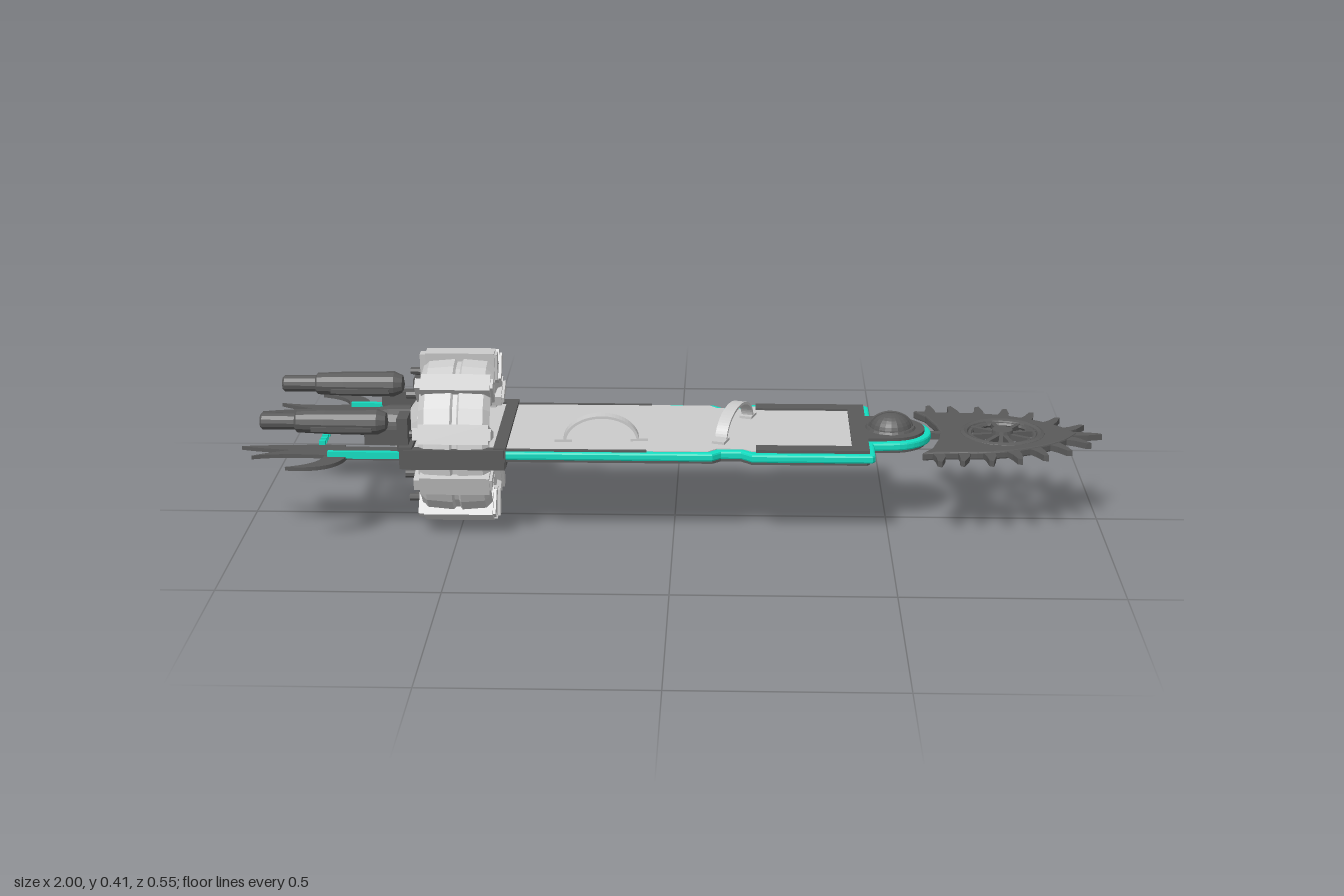
import * as THREE from 'three';

const mat = (color) => new THREE.MeshStandardMaterial({ color, flatShading: true, side: THREE.DoubleSide });
const GREY = mat(0xcccccc), DARK = mat(0x5a5a5a), TEAL = mat(0x12dcc0);
const AXIS_Y = 0.205, ZC = 0.013, RING_X = -0.5;

export function createModel() {
  const root = new THREE.Group();
  root.name = 'bladedHoverboard';
  const hull = new THREE.Group();
  hull.name = 'hull';
  hull.position.z = ZC;
  root.add(hull);

  const add = (name, geo, material, parent = hull) => {
    const m = new THREE.Mesh(geo, material);
    m.name = name;
    parent.add(m);
    return m;
  };
  const box = (name, x0, x1, y0, y1, z0, z1, material, parent) =>
    add(name, new THREE.BoxGeometry(x1 - x0, y1 - y0, z1 - z0)
      .translate((x0 + x1) / 2, (y0 + y1) / 2, (z0 + z1) / 2), material, parent);
  // Flat plate from an x-z shape, lying between y0 and y1
  const plate = (name, shape, y0, y1, material, parent, bevel = 0) =>
    add(name, new THREE.ExtrudeGeometry(shape, {
      depth: y1 - y0 - 2 * bevel, curveSegments: 20, bevelEnabled: bevel > 0,
      bevelSize: bevel, bevelThickness: bevel, bevelOffset: -bevel, bevelSegments: 2,
    }).rotateX(Math.PI / 2).translate(0, y1 - bevel, 0), material, parent);
  // Solid of revolution about the x axis; profile is [radius, x]
  const turned = (name, profile, sides, y, z, material, parent) =>
    add(name, new THREE.LatheGeometry(profile.map(([r, x]) => new THREE.Vector2(r, x)), sides)
      .rotateZ(-Math.PI / 2).translate(0, y, z), material, parent);
  const polygon = (pts) => new THREE.Shape(pts.map(([x, z]) => new THREE.Vector2(x, z)));
  const mirrored = (half) => [...half, ...half.slice().reverse().map(([x, z]) => [x, -z])];
  // Round nose points, from the side to the centre line
  const nose = (r) => [0, 1, 2, 3, 4, 5, 6, 7, 8].map((i) => {
    const a = Math.PI / 2 * (1 - i / 8.5);
    return [0.505 + r * Math.cos(a), r * Math.sin(a)];
  });
  const outline = (d) => polygon(mirrored([
    [-0.61, 0.182 - d], [0.09, 0.182 - d], [0.11, 0.164 - d], [0.155, 0.164 - d], [0.18, 0.187 - d],
    [0.455 - d, 0.187 - d], [0.462 - d, 0.178 - d], [0.462 - d, 0.098 - d], ...nose(0.095 - d)]));

  // Board: glowing rim, dark belly, light deck
  plate('boardRim', outline(0), 0.203, 0.223, TEAL, hull, 0.005);
  plate('boardBelly', outline(0.012), 0.195, 0.206, DARK);
  plate('deck', polygon(mirrored([[-0.6, 0.17], [0.08, 0.17], [0.1, 0.15], [0.16, 0.15], [0.18, 0.165], [0.44, 0.165]])),
    0.215, 0.225, GREY);
  plate('noseTrim', polygon(mirrored([[0.41, 0], [0.41, 0.137], [0.19, 0.137], [0.19, 0.173],
    [0.449, 0.173], [0.449, 0.085], ...nose(0.08)])), 0.214, 0.23, DARK);
  for (const s of [-1, 1]) {
    box('edgeStrip', -0.4, -0.06, 0.216, 0.227, s * 0.172 - 0.004, s * 0.172 + 0.004, DARK);
  }

  // Underside grille
  box('grillePanel', -0.37, 0.43, 0.191, 0.196, -0.125, 0.125, DARK);
  for (let i = 0; i < 11; i++) {
    const z = -0.11 + i * 0.022;
    box('grilleBar', -0.36, 0.42, 0.189, 0.192, z - 0.0025, z + 0.0025, TEAL);
  }
  for (let i = 0; i < 27; i++) {
    const x = -0.36 + i * 0.03;
    box('grilleCrossBar', x - 0.0025, x + 0.0025, 0.189, 0.192, -0.11, 0.11, TEAL);
  }

  // Dome on the nose
  add('noseDome', new THREE.SphereGeometry(0.05, 20, 8, 0, Math.PI * 2, 0, Math.PI / 2)
    .scale(1, 0.8, 1).translate(0.505, 0.228, 0), DARK);
  add('domeBand', new THREE.TorusGeometry(0.05, 0.004, 6, 16, Math.PI).scale(1, 0.8, 1.5)
    .translate(0.505, 0.228, 0), DARK);
  add('domeCollar', new THREE.TorusGeometry(0.053, 0.006, 6, 24).rotateX(Math.PI / 2).translate(0.505, 0.23, 0), DARK);

  // Foot straps: flat arched bands with feet
  const strap = (x, z, span, turn) => {
    const g = new THREE.Group();
    g.name = 'footStrap';
    g.position.set(x, 0.224, z);
    g.rotation.y = turn;
    hull.add(g);
    const s = new THREE.Shape();
    s.absellipse(0, 0, span / 2, 0.062, 0, Math.PI, false);
    s.absellipse(0, 0, span / 2 - 0.006, 0.056, Math.PI, 0, true);
    add('strapBand', new THREE.ExtrudeGeometry(s, { depth: 0.028, bevelEnabled: false, curveSegments: 16 })
      .translate(0, 0, -0.014), GREY, g);
    for (const e of [-1, 1]) box('strapFoot', e * span / 2 - 0.02, e * span / 2 + 0.02, 0, 0.007, -0.015, 0.015, GREY, g);
  };
  strap(-0.168, 0.092, 0.175, 0.06);
  strap(0.14, 0.005, 0.2, 1.25);

  // Turbine ring
  const ring = new THREE.Group();
  ring.name = 'turbineRing';
  ring.position.y = AXIS_Y;
  hull.add(ring);
  turned('ringShell', [[0.146, -0.575], [0.172, -0.585], [0.188, -0.57], [0.194, -0.51], [0.187, -0.505], [0.187, -0.495],
    [0.194, -0.49], [0.189, -0.435], [0.172, -0.42], [0.166, -0.43], [0.146, -0.435], [0.146, -0.575]], 20, 0, 0, GREY, ring);
  // Slotted web between the shell and the intake
  const web = new THREE.Shape().absarc(0, 0, 0.152, 0, Math.PI * 2, false);
  web.holes.push(new THREE.Path().absarc(0, 0, 0.115, 0, Math.PI * 2, true));
  for (const v of [-1, 1]) for (const h of [-1, 1]) for (const deg of [15, 34, 55]) {
    const a = v * (Math.PI / 2 - h * deg * Math.PI / 180);
    web.holes.push(new THREE.Path().absellipse(0.133 * Math.cos(a), 0.133 * Math.sin(a), 0.011, 0.006, 0, Math.PI * 2, true, a));
  }
  add('slottedWeb', new THREE.ExtrudeGeometry(web, { depth: 0.012, bevelEnabled: false, curveSegments: 10 })
    .rotateY(Math.PI / 2).translate(RING_X, 0, 0), GREY, ring);
  // Stepped intake bowl, closed at the back
  turned('intakeBowl', [[0, -0.575], [0.075, -0.575], [0.08, -0.55], [0.092, -0.55], [0.097, -0.52], [0.108, -0.52],
    [0.112, -0.485], [0.12, -0.485], [0.122, -0.45], [0.117, -0.45]], 20, 0, 0, GREY, ring);
  // Ten tapered clamps
  const clamp = polygon([[-0.013, 0.132], [0.013, 0.132], [0.023, 0.204], [-0.023, 0.204]]);
  const rib = polygon([[-0.007, 0.136], [0.007, 0.136], [0.014, 0.199], [-0.014, 0.199]]);
  for (let i = 0; i < 10; i++) {
    const g = new THREE.Group();
    g.name = 'ringClamp';
    g.rotation.x = i * Math.PI / 5;
    ring.add(g);
    add('clampBody', new THREE.ExtrudeGeometry(clamp, { depth: 0.16, bevelEnabled: false })
      .rotateY(Math.PI / 2).translate(-0.58, 0, 0), GREY, g);
    add('clampRib', new THREE.ExtrudeGeometry(rib, { depth: 0.18, bevelEnabled: false })
      .rotateY(Math.PI / 2).translate(-0.594, 0, 0), GREY, g);
    add('clampBolt', new THREE.CylinderGeometry(0.009, 0.009, 0.03, 8).rotateZ(Math.PI / 2)
      .translate(-0.602, 0.155, 0), DARK, g);
  }
  turned('rearShroud', [[0.045, -0.655], [0.06, -0.64], [0.065, -0.62], [0.1, -0.595], [0.11, -0.55]], 20, 0, 0, GREY, ring);
  turned('exhaustCone', [[0.004, -0.775], [0.02, -0.755], [0.035, -0.71], [0.044, -0.67], [0.044, -0.62], [0, -0.62]],
    16, 0.025, 0, DARK, ring);

  // Collar where the board passes through the ring
  box('collarFloor', -0.62, -0.385, 0.182, 0.2, -0.192, 0.192, DARK);
  box('collarFrontBar', -0.41, -0.382, 0.184, 0.233, -0.186, 0.186, DARK);
  box('collarRearBar', -0.625, -0.595, 0.184, 0.236, -0.192, 0.192, DARK);
  for (const s of [-1, 1]) {
    box('collarRail', -0.615, -0.385, 0.19, 0.23, s * 0.183 - 0.012, s * 0.183 + 0.012, DARK);
    box('collarBracket', -0.63, -0.605, 0.2, 0.3, s * 0.15 - 0.03, s * 0.15 + 0.03, DARK);
  }

  // Rear tail: side rails and a grille that faces down
  for (const s of [-1, 1]) {
    box('tailRail', -0.79, -0.61, 0.206, 0.222, s * 0.182 - 0.006, s * 0.182 + 0.006, TEAL);
    box('tailPlate', -0.8, -0.61, 0.2, 0.212, s * 0.15 - 0.03, s * 0.15 + 0.03, DARK);
  }
  for (let i = 0; i < 10; i++) {
    const z = -0.1 + i * 0.0222;
    box('tailGrilleTip', -0.822, -0.808, 0.207, 0.22, z - 0.006, z + 0.006, TEAL);
  }
  const under = new THREE.MeshStandardMaterial({ color: 0x12dcc0 });
  const slat = (w, d, x, z) =>
    add('tailGrilleSlat', new THREE.PlaneGeometry(w, d).rotateX(Math.PI / 2).translate(x, 0.207, z), under);
  for (let i = 0; i < 10; i++) slat(0.19, 0.008, -0.717, -0.1 + i * 0.0222);
  for (let i = 0; i < 6; i++) slat(0.006, 0.21, -0.8 + i * 0.035, 0);

  // Twin thrusters and curved tail fins
  const fin = (name, s, a, c1, tip, c2, b) => {
    const f = new THREE.Shape();
    f.moveTo(a[0], s * a[1]);
    f.quadraticCurveTo(c1[0], s * c1[1], tip[0], s * tip[1]);
    f.quadraticCurveTo(c2[0], s * c2[1], b[0], s * b[1]);
    plate(name, f, 0.201, 0.21, DARK, root);
  };
  for (const s of [-1, 1]) {
    turned('thruster', [[0, -0.95], [0.015, -0.95], [0.02, -0.945], [0.02, -0.87], [0.026, -0.865], [0.029, -0.8],
      [0.031, -0.68], [0.022, -0.66], [0, -0.655]], 14, 0.277, s * 0.145, DARK, root);
    box('thrusterFin', -0.83, -0.69, 0.262, 0.272, s * 0.145 - 0.034, s * 0.145 + 0.034, DARK, root);
    box('thrusterMount', -0.71, -0.61, 0.225, 0.262, s * 0.145 - 0.014, s * 0.145 + 0.014, DARK, root);
    fin('hornFin', s, [-0.8, 0.18], [-0.79, 0.245], [-0.875, 0.272], [-0.755, 0.29], [-0.745, 0.18]);
    fin('hookFin', s, [-0.78, 0.125], [-0.92, 0.16], [-0.965, 0.198], [-0.9, 0.175], [-0.78, 0.19]);
    fin('longFin', s, [-0.76, 0.115], [-0.9, 0.115], [-1, 0.13], [-0.93, 0.155], [-0.76, 0.165]);
  }

  // Saw blade at the nose
  const saw = new THREE.Group();
  saw.name = 'sawBlade';
  saw.position.z = 0.01;
  root.add(saw);
  const WX = 0.767;
  const edge = new THREE.SplineCurve([[0.57, 0.155], [0.64, 0.147], [0.71, 0.145], [0.78, 0.13], [0.85, 0.097],
    [0.905, 0.052], [0.94, 0]].map(([x, z]) => new THREE.Vector2(x, z)));
  const side = edge.getPoints(20).map((p) => [p.x, p.y]);
  const blade = polygon([...mirrored(side), [0.595, -0.12], [0.615, -0.05], [0.622, 0], [0.615, 0.05], [0.595, 0.12]]);
  blade.holes.push(new THREE.Path().absarc(WX, 0, 0.088, 0, Math.PI * 2, true));
  plate('bladeBody', blade, 0.2, 0.22, DARK, saw, 0.004);
  const tooth = (p, t, s) => {
    const at = (u, v) => [p.x + t.x * u - t.y * v, s * (p.y + t.y * u + t.x * v)];
    plate('bladeTooth', polygon([at(-0.016, -0.012), at(0.016, -0.012), at(0.011, 0.022), at(-0.003, 0.058),
      at(-0.012, 0.05), at(-0.011, 0.02)]), 0.203, 0.217, DARK, saw);
  };
  for (const s of [-1, 1]) for (let i = 0; i < 7; i++) {
    const u = 0.09 + i * 0.137;
    tooth(edge.getPointAt(u), edge.getTangentAt(u), s);
  }
  plate('tipTooth', polygon([[0.93, -0.014], [0.965, -0.011], [0.996, -0.004], [1, 0.002], [0.965, 0.011], [0.93, 0.014]]),
    0.203, 0.217, DARK, saw);
  // Spoked wheel set in the blade
  add('wheelRim', new THREE.TorusGeometry(0.09, 0.011, 8, 32).rotateX(Math.PI / 2).translate(WX, 0.213, 0), DARK, saw);
  add('wheelInnerRim', new THREE.TorusGeometry(0.076, 0.006, 6, 32).rotateX(Math.PI / 2).translate(WX, 0.213, 0), DARK, saw);
  add('wheelHub', new THREE.CylinderGeometry(0.024, 0.028, 0.028, 16).translate(WX, 0.213, 0), DARK, saw);
  for (let i = 0; i < 8; i++) {
    add('wheelSpoke', new THREE.BoxGeometry(0.07, 0.014, 0.011).translate(0.05, 0, 0)
      .rotateY(i * Math.PI / 4 + 0.2).translate(WX, 0.212, 0), DARK, saw);
  }
  box('bladeLink', 0.585, 0.64, 0.202, 0.218, -0.008, 0.008, DARK, saw);

  return root;
}
